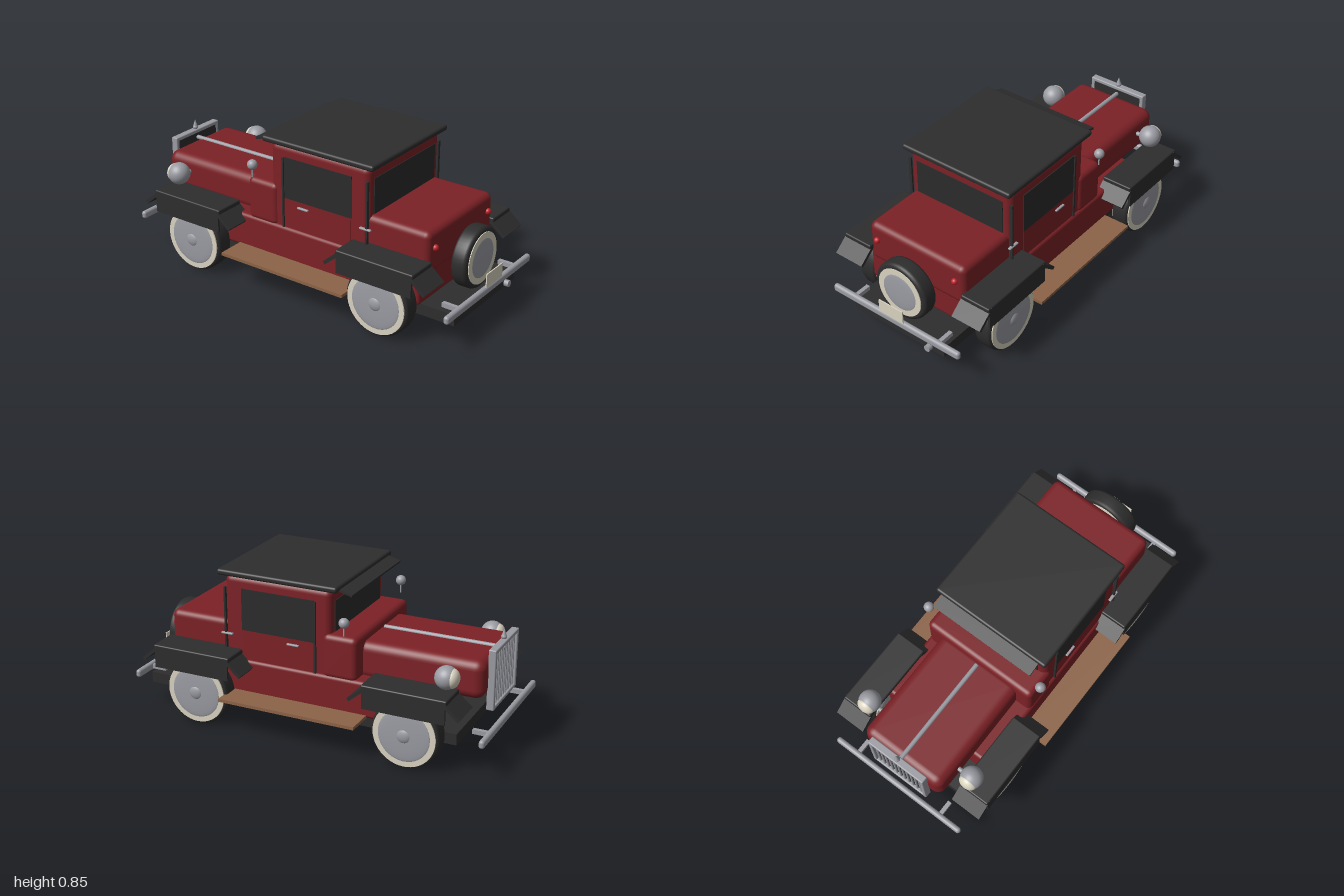
import * as THREE from 'three';
import { RoundedBoxGeometry } from 'three/addons/geometries/RoundedBoxGeometry.js';

const material = (name, color) => {
  const m = new THREE.MeshStandardMaterial({ color });
  m.name = name;
  return m;
};

export function createModel() {
  const car = new THREE.Group();
  car.name = 'vintageCar';
  const red = material('bodyRed', 0x7c2126);
  const black = material('black', 0x2d2d2d);
  const glass = material('darkGlass', 0x2b2b2b);
  const chrome = material('chrome', 0x9b9ca3);
  const cream = material('cream', 0xd9d3c0);
  const wood = material('wood', 0x8c6347);
  const lampRed = material('lampRed', 0xc0222a);

  const add = (name, geometry, mat, x = 0, y = 0, z = 0, parent = car) => {
    const mesh = new THREE.Mesh(geometry, mat);
    mesh.name = name;
    mesh.position.set(x, y, z);
    parent.add(mesh);
    return mesh;
  };
  // Box given by its limits, rounded when r > 0
  const box = (name, mat, [x0, x1], [y0, y1], [z0, z1], r = 0) => {
    const s = [x1 - x0, y1 - y0, z1 - z0];
    const g = r ? new RoundedBoxGeometry(...s, 4, r) : new THREE.BoxGeometry(...s);
    return add(name, g, mat, (x0 + x1) / 2, (y0 + y1) / 2, (z0 + z1) / 2);
  };
  // Same box on the given side (s = 1 or -1)
  const sideBox = (s, name, mat, [x0, x1], y, z, r) =>
    box(name, mat, s > 0 ? [x0, x1] : [-x1, -x0], y, z, r);
  const ball = (name, mat, r, x, y, z) =>
    add(name, new THREE.SphereGeometry(r, 28, 18), mat, x, y, z);
  const rod = (name, mat, r, length, x, y, z, axis = 'y') => {
    const g = new THREE.CylinderGeometry(r, r, length, 16);
    if (axis === 'z') g.rotateX(Math.PI / 2);
    if (axis === 'x') g.rotateZ(Math.PI / 2);
    return add(name, g, mat, x, y, z);
  };

  // Chassis and bodywork
  box('chassis', black, [-0.295, 0.295], [0.118, 0.178], [-0.82, 0.95]);
  box('lowerBody', red, [-0.335, 0.335], [0.182, 0.375], [-0.65, 0.77], 0.02);
  box('trunk', red, [-0.305, 0.305], [0.342, 0.57], [0.4, 0.8], 0.035);
  box('cabin', red, [-0.32, 0.32], [0.34, 0.825], [-0.145, 0.46], 0.035);
  box('cowl', red, [-0.332, 0.332], [0.36, 0.595], [-0.29, -0.1], 0.03);
  box('hood', red, [-0.246, 0.246], [0.35, 0.552], [-0.927, -0.25], 0.05);
  rod('hoodStrip', chrome, 0.012, 0.65, 0, 0.553, -0.625, 'z');

  // Roof and sun visor
  box('roof', black, [-0.34, 0.34], [0.82, 0.852], [-0.185, 0.495], 0.013);
  const visor = box('visor', black, [-0.3, 0.3], [0.818, 0.83], [-0.255, -0.13]);
  visor.rotation.x = -0.25;

  // Windows
  box('rearWindow', glass, [-0.273, 0.273], [0.55, 0.76], [0.459, 0.464]);
  box('windshield', glass, [-0.273, 0.273], [0.59, 0.76], [-0.149, -0.144]);

  // Grille with vertical bars and ornament
  box('grilleCore', black, [-0.155, 0.155], [0.29, 0.585], [-0.945, -0.925]);
  for (const s of [-1, 1]) sideBox(s, 'grilleSide', chrome, [0.152, 0.174], [0.28, 0.6], [-0.962, -0.922], 0.006);
  box('grilleTop', chrome, [-0.174, 0.174], [0.578, 0.6], [-0.962, -0.922], 0.006);
  box('grilleBottom', chrome, [-0.174, 0.174], [0.28, 0.3], [-0.962, -0.922], 0.006);
  for (let i = 0; i < 11; i++) rod('grilleBar', chrome, 0.006, 0.29, (i - 5) * 0.027, 0.438, -0.948);
  ball('ornamentBase', chrome, 0.015, 0, 0.61, -0.94);
  add('ornamentSpike', new THREE.ConeGeometry(0.015, 0.045, 16), chrome, 0, 0.633, -0.94);

  // Wheel facing +y in its own space; scaled and turned into place
  const wheel = (name, r, width, discRatio, creamRatio) => {
    const g = new THREE.Group();
    g.name = name;
    const h = width / 2, c = 0.018;
    const lathe = (part, pts, mat) =>
      add(part, new THREE.LatheGeometry(pts.map(p => new THREE.Vector2(...p)), 48), mat, 0, 0, 0, g);
    lathe('tire', [[0, -h], [r - c, -h], [r - 0.005, -h + 0.006], [r, -h + c], [r, h - c],
      [r - 0.005, h - 0.006], [r - c, h], [0, h]], black);
    for (const s of [-1, 1]) {
      const wall = add('whitewall', new THREE.CylinderGeometry(r * creamRatio, r * creamRatio, 0.006, 48), cream, 0, s * h, 0, g);
      wall.position.y = s * (h + 0.001);
      const disc = add('wheelDisc', new THREE.SphereGeometry(r * discRatio, 40, 16), chrome, 0, s * (h + 0.003), 0, g);
      disc.scale.y = 0.07;
    }
    return g;
  };
  for (const s of [-1, 1]) for (const z of [0.585, -0.597]) {
    const w = wheel('wheel', 0.181, 0.1, 0.77, 0.92);
    w.position.set(s * 0.38, 0.183, z);
    w.rotation.z = -s * Math.PI / 2;
    const hub = add('hubCap', new THREE.SphereGeometry(0.042, 24, 16), chrome, 0, 0.05, 0, w);
    hub.scale.y = 0.52;
    car.add(w);
    rod('axleStub', black, 0.025, 0.1, s * 0.3, 0.17, z, 'x');
  }

  // Spare wheel
  const spare = wheel('spareWheel', 0.162, 0.088, 0.645, 0.84);
  spare.position.set(0, 0.356, 0.878);
  spare.rotation.x = Math.PI / 2;
  car.add(spare);
  rod('spareMount', chrome, 0.025, 0.06, 0, 0.356, 0.81, 'z');
  box('numberPlate', cream, [-0.077, 0.077], [0.245, 0.32], [0.991, 0.997]);

  // Bumpers
  for (const [z, inner] of [[0.967, 0.87], [-0.985, -0.895]]) {
    box('bumper', chrome, [-0.41, 0.41], [0.183, 0.227], [z - 0.015, z + 0.015], 0.0145);
    for (const s of [-1, 1])
      sideBox(s, 'bumperBracket', chrome, [0.262, 0.284], [0.193, 0.217], [Math.min(z, inner), Math.max(z, inner)]);
  }
  rod('exhaust', chrome, 0.018, 0.15, 0.204, 0.138, 0.9, 'z');

  for (const s of [-1, 1]) {
    // Doors, side windows, trim and handles
    sideBox(s, 'door', red, [0.31, 0.323], [0.372, 0.535], [-0.055, 0.355]);
    sideBox(s, 'sideWindow', glass, [0.318, 0.325], [0.536, 0.76], [-0.054, 0.36]);
    for (const z of [-0.06, 0.455])
      sideBox(s, 'doorTrim', black, [0.315, 0.331], [0.372, 0.757], [z - 0.005, z + 0.005]);
    for (const z of [0.065, 0.447])
      sideBox(s, 'doorHandle', chrome, [0.318, 0.335], [0.499, 0.509], [z - 0.034, z + 0.034], 0.004);

    // Running board
    sideBox(s, 'runningBoard', wood, [0.33, 0.486], [0.183, 0.2], [-0.35, 0.42]);

    // Fenders: top slab, outer skirt and two sloping end flaps
    for (const z of [0.59, -0.6]) {
      sideBox(s, 'fenderTop', black, [0.294, 0.468], [0.398, 0.425], [z - 0.225, z + 0.225], 0.008);
      sideBox(s, 'fenderSkirt', black, [0.456, 0.468], [0.3, 0.41], [z - 0.218, z + 0.218]);
      for (const e of [-1, 1]) {
        const flap = add('fenderFlap', new THREE.BoxGeometry(0.174, 0.018, 0.125), black,
          s * 0.381, 0.374, z + e * 0.243);
        flap.rotation.x = e * 0.7;
      }
    }

    // Headlights, mirrors and tail lights
    ball('headlight', chrome, 0.06, s * 0.33, 0.487, -0.77);
    const lens = ball('headlightLens', cream, 0.05, s * 0.33, 0.487, -0.8);
    lens.scale.z = 0.72;
    rod('headlightMount', chrome, 0.012, 0.1, s * 0.27, 0.47, -0.77, 'x');
    ball('mirror', chrome, 0.027, s * 0.355, 0.684, -0.235);
    rod('mirrorStem', chrome, 0.004, 0.07, s * 0.355, 0.65, -0.235);
    ball('tailLight', lampRed, 0.017, s * 0.25, 0.48, 0.803);
  }
  return car;
}
